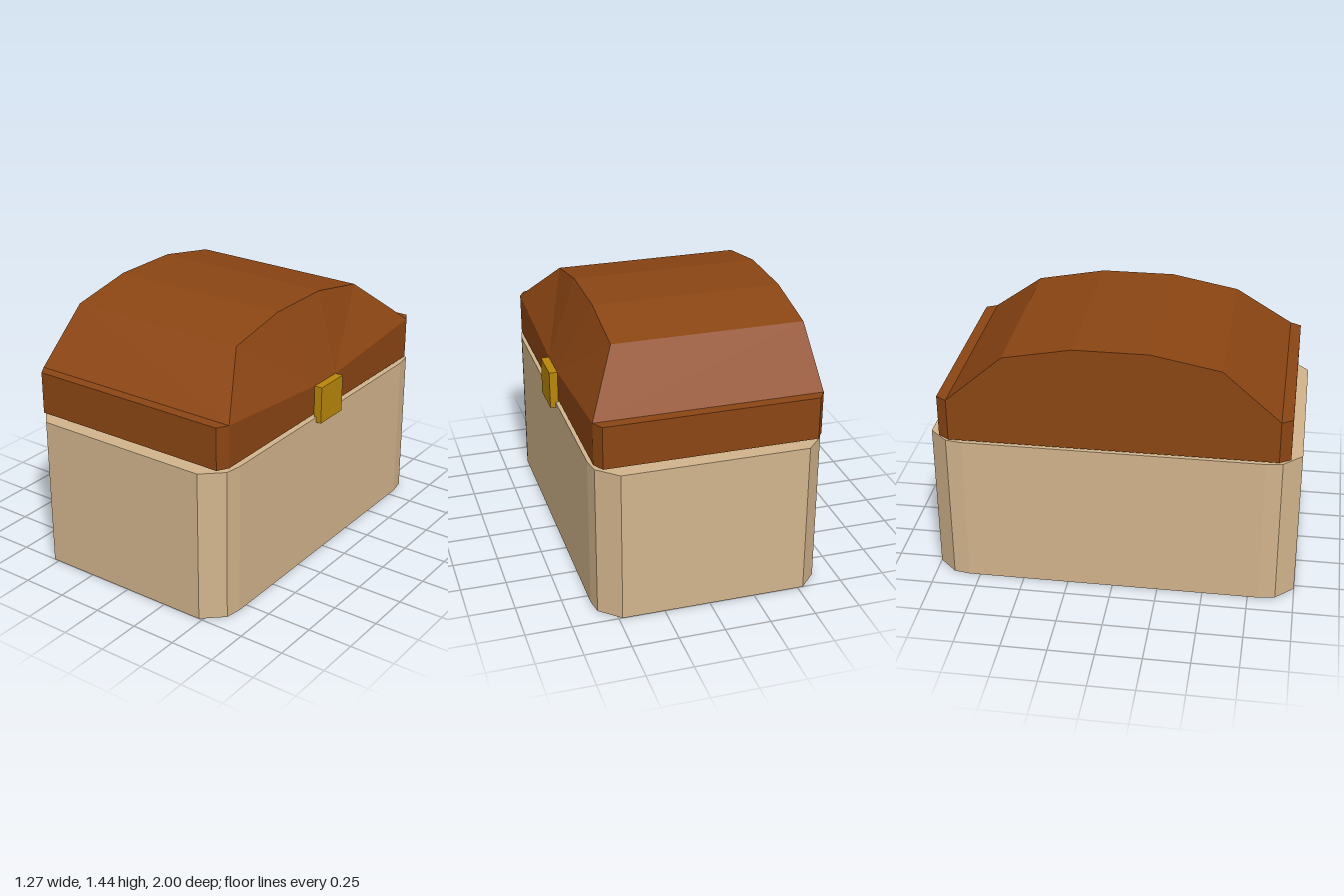
import * as THREE from 'three';

const paint = (color) => new THREE.MeshStandardMaterial({ color, flatShading: true });

// Flat-faced geometry from convex faces of the z >= 0 half, mirrored across z = 0
function mirroredFaces(faces) {
  const pos = [];
  for (const f of faces) {
    for (let i = 1; i < f.length - 1; i++) {
      const [a, b, c] = [f[0], f[i], f[i + 1]];
      pos.push(...a, ...b, ...c);
      for (const [x, y, z] of [a, c, b]) pos.push(x, y, -z);
    }
  }
  const g = new THREE.BufferGeometry();
  g.setAttribute('position', new THREE.Float32BufferAttribute(pos, 3));
  g.computeVertexNormals();
  return g;
}

// Box body: a rectangle with two-step bevelled corners, extruded upwards
function bodyGeometry() {
  const half = [[0.605, 0.81], [0.59, 0.9], [0.48, 1], [-0.53, 1], [-0.625, 0.9], [-0.64, 0.81]];
  const outline = [...half, ...half.map(([x, z]) => [x, -z]).reverse()];
  const shape = new THREE.Shape(outline.map(([x, z]) => new THREE.Vector2(x, z)));
  const g = new THREE.ExtrudeGeometry(shape, { depth: 0.85, bevelEnabled: false });
  return g.rotateX(-Math.PI / 2);
}

// Lid: bevelled rim, faceted barrel top, and a sloped front notched behind the latch
function lidGeometry() {
  const base = 0.865, rimTop = 1.1, back = -0.64;
  const rim = [[0.59, 0], [0.59, 0.88], [0.555, 0.94], [-0.6, 0.94], [back, 0.88], [back, 0]];
  const low = rim.map(([x, z]) => [x, base, z]);
  const high = rim.map(([x, z]) => [x, rimTop, z]);
  const front = [high[1], [0.41, 1.37, 0.57], [0.41, 1.44, 0.2], [0.41, 1.44, 0]];
  const rear = front.map(([, y, z]) => [back, y, z]);
  const notch = [0.59, 1.03, 0.1], notchMid = [0.59, 1.03, 0];

  const faces = [
    low,                                               // underside
    [high[1], high[4], high[3], high[2]],              // ledge above the rim
    [low[0], notchMid, notch, high[1], low[1]],        // front of the rim
    [low[4], ...rear, low[5]],                         // back wall
    [notch, front[2], front[1], front[0]].slice(0, 3), // sloped front facets
    [notch, front[1], front[0]],
    [notchMid, front[3], front[2], notch],
  ];
  for (let i = 1; i < 4; i++) faces.push([low[i], high[i], high[i + 1], low[i + 1]]);
  for (let i = 0; i < 3; i++) faces.push([front[i], front[i + 1], rear[i + 1], rear[i]]);
  return mirroredFaces(faces);
}

export function createModel() {
  const group = new THREE.Group();
  group.name = 'chest';
  const add = (name, geometry, color) => {
    const mesh = new THREE.Mesh(geometry, paint(color));
    mesh.name = name;
    group.add(mesh);
    return mesh;
  };
  add('body', bodyGeometry(), 0xd2b48c);
  add('lid', lidGeometry(), 0x8b4513);
  add('latch', new THREE.BoxGeometry(0.045, 0.21, 0.21), 0xb8860b).position.set(0.6125, 0.925, 0);
  return group;
}
